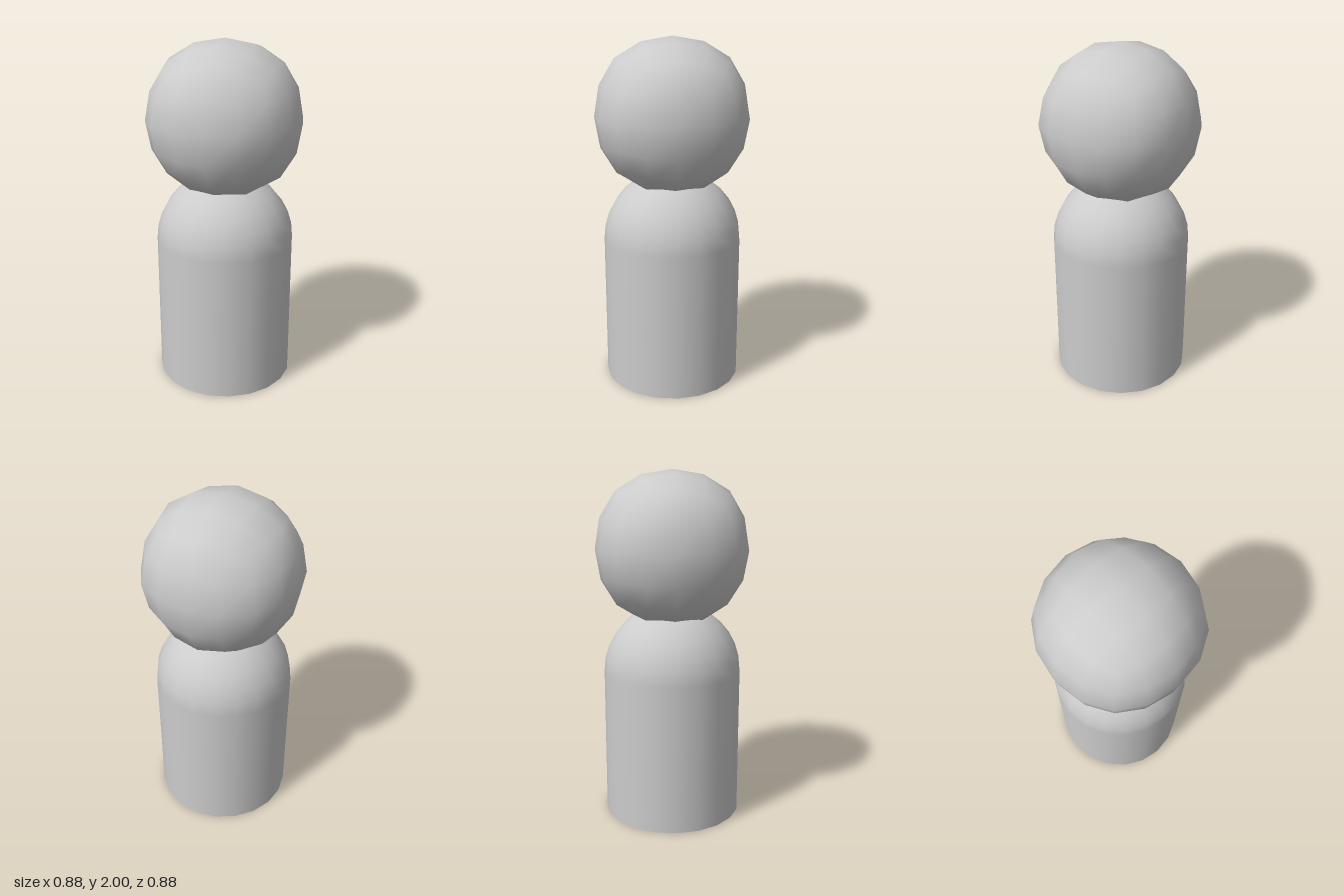
import * as THREE from 'three';
import { mergeVertices } from 'three/addons/utils/BufferGeometryUtils.js';

const grey = () => new THREE.MeshStandardMaterial({ color: 0xcccccc });

// Rounded-cube rule: grid position (sorted, in half steps) -> smoothed position
const ROUNDED = {
  '2,0,0': [0.4392, 0, 0],
  '2,1,0': [0.4097, 0.1753, 0],
  '2,1,1': [0.3819, 0.1632, 0.1632],
  '2,2,0': [0.3216, 0.3216, 0],
  '2,2,1': [0.2995, 0.2995, 0.151],
  '2,2,2': [0.2546, 0.2546, 0.2546],
};

// Head: a cube of 4 x 4 quads per side, smoothed into a ball
function makeHead() {
  let geo = new THREE.BoxGeometry(1, 1, 1, 4, 4, 4);
  geo.deleteAttribute('normal');
  geo.deleteAttribute('uv');
  geo = mergeVertices(geo);
  const pos = geo.attributes.position;
  for (let i = 0; i < pos.count; i++) {
    const p = [pos.getX(i), pos.getY(i), pos.getZ(i)];
    const steps = p.map((v) => Math.round(Math.abs(v) * 4));
    const order = [0, 1, 2].sort((a, b) => steps[b] - steps[a]);
    const target = ROUNDED[order.map((k) => steps[k]).join(',')];
    order.forEach((axis, k) => { p[axis] = Math.sign(p[axis]) * target[k]; });
    pos.setXYZ(i, ...p);
  }
  geo.computeVertexNormals();
  const head = new THREE.Mesh(geo, grey());
  head.name = 'head';
  head.position.y = 1.561;
  return head;
}

// Body: straight cylinder with a domed shoulder and a flat base
function makeBody() {
  const radius = 0.4, shoulder = 0.85, sides = 20, rings = 8;
  const profile = [new THREE.Vector2(radius, 0)];
  for (let i = 0; i <= rings; i++) {
    const a = (i / rings) * Math.PI / 2;
    profile.push(new THREE.Vector2(
      i === rings ? 0 : radius * Math.cos(a),
      shoulder + radius * Math.sin(a),
    ));
  }
  const body = new THREE.Group();
  body.name = 'body';

  const shell = new THREE.Mesh(new THREE.LatheGeometry(profile, sides), grey());
  shell.name = 'bodyShell';

  const base = new THREE.Mesh(new THREE.CircleGeometry(radius, sides), grey());
  base.name = 'base';
  base.rotation.x = Math.PI / 2;

  body.add(shell, base);
  return body;
}

export function createModel() {
  const model = new THREE.Group();
  model.name = 'pegFigure';
  model.add(makeBody(), makeHead());
  return model;
}
